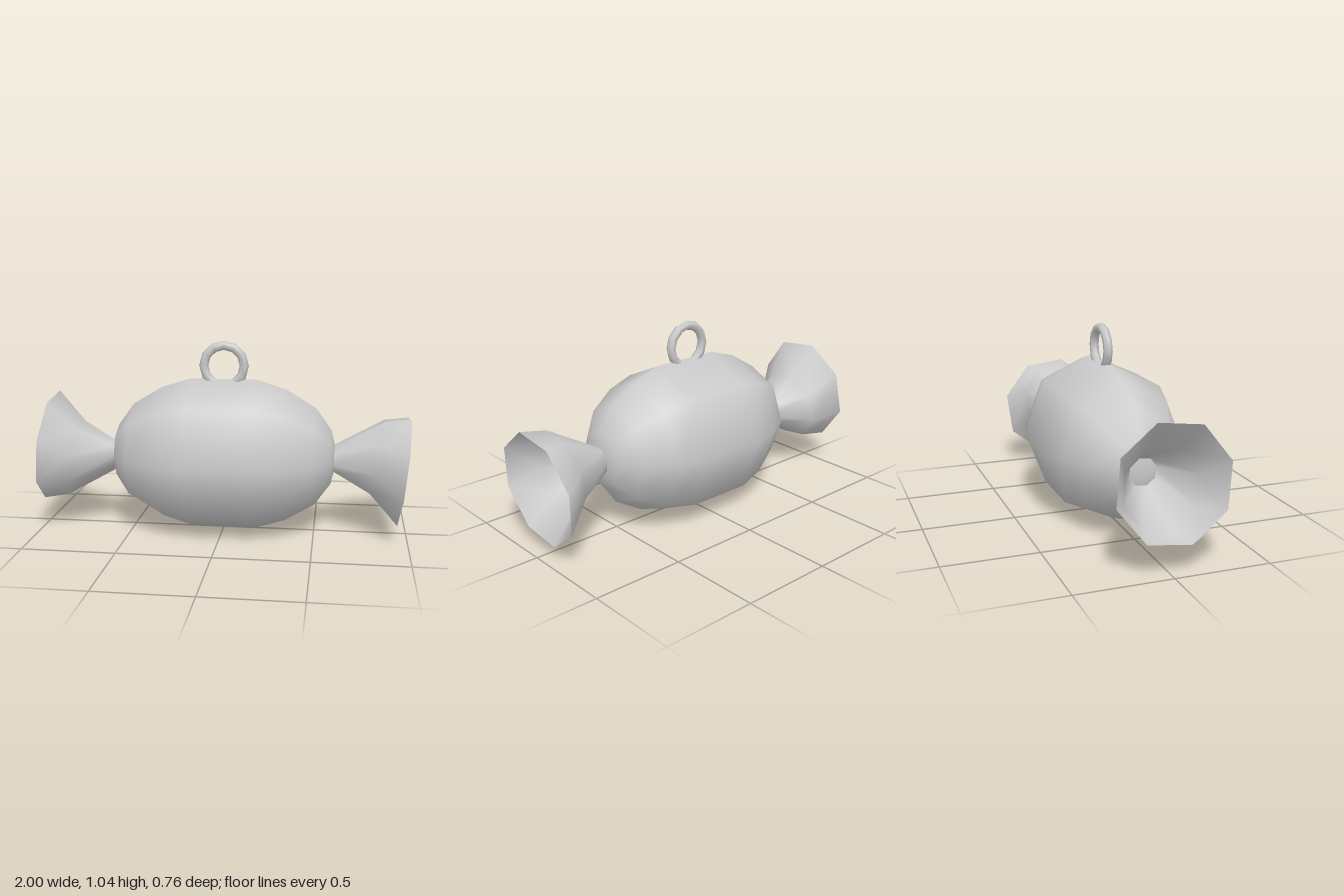
import * as THREE from 'three';

const SIDES = 8;

// Flared open wrapper end: tilted octagonal rings joined along +x
function wrapperGeometry() {
  // [centre x, centre y, centre z, radius, lean of x per unit height]
  const rings = [
    [0.6, 0.01, 0, 0.075, 0],
    [0.83, 0.03, 0.005, 0.207, 0.2],
    [0.97, -0.045, 0.008, 0.302, 0.103],
  ];
  const positions = [], index = [];
  rings.forEach(([cx, cy, cz, r, lean], j) => {
    for (let i = 0; i < SIDES; i++) {
      const a = THREE.MathUtils.degToRad(15.5) + (i / SIDES) * Math.PI * 2;
      const dy = r * Math.cos(a);
      positions.push(cx + lean * dy, cy + dy, cz + r * Math.sin(a));
      if (j === rings.length - 1) continue;
      const n = (i + 1) % SIDES, p = j * SIDES, q = p + SIDES;
      index.push(p + i, p + n, q + i, p + n, q + n, q + i);
    }
  });
  const geometry = new THREE.BufferGeometry();
  geometry.setAttribute('position', new THREE.Float32BufferAttribute(positions, 3));
  geometry.setIndex(index);
  geometry.computeVertexNormals();
  return geometry;
}

export function createModel() {
  const model = new THREE.Group();
  model.name = 'wrappedSweet';
  const grey = new THREE.MeshStandardMaterial({ color: 0xcccccc, side: THREE.DoubleSide });
  grey.name = 'light grey';

  const add = (name, geometry) => {
    const mesh = new THREE.Mesh(geometry, grey);
    mesh.name = name;
    model.add(mesh);
    return mesh;
  };

  // Plump eight-sided body lying along x
  const half = [[0.417, 0.18], [0.367, 0.34], [0.27, 0.5], [0.15, 0.585], [0.065, 0.605], [0, 0.606]];
  const profile = [
    ...half.map(([r, x]) => new THREE.Vector2(r, -x)).reverse(),
    ...half.map(([r, x]) => new THREE.Vector2(r, x)),
  ];
  const bodyGeometry = new THREE.LatheGeometry(profile, SIDES);
  bodyGeometry.rotateZ(-Math.PI / 2);
  bodyGeometry.scale(1, 1, 0.38 / 0.417);
  add('body', bodyGeometry).position.y = 0.42;

  // Wrapper ends: the second is the first turned half a turn about z
  const wrapper = wrapperGeometry();
  ['leftWrapperEnd', 'rightWrapperEnd'].forEach((name, i) => {
    const end = add(name, wrapper);
    end.position.y = 0.405;
    end.rotation.z = i * Math.PI;
  });

  // Hanging loop sunk into the top of the body
  add('hangingLoop', new THREE.TorusGeometry(0.11, 0.025, 6, 12)).position.y = 0.91;

  return model;
}
